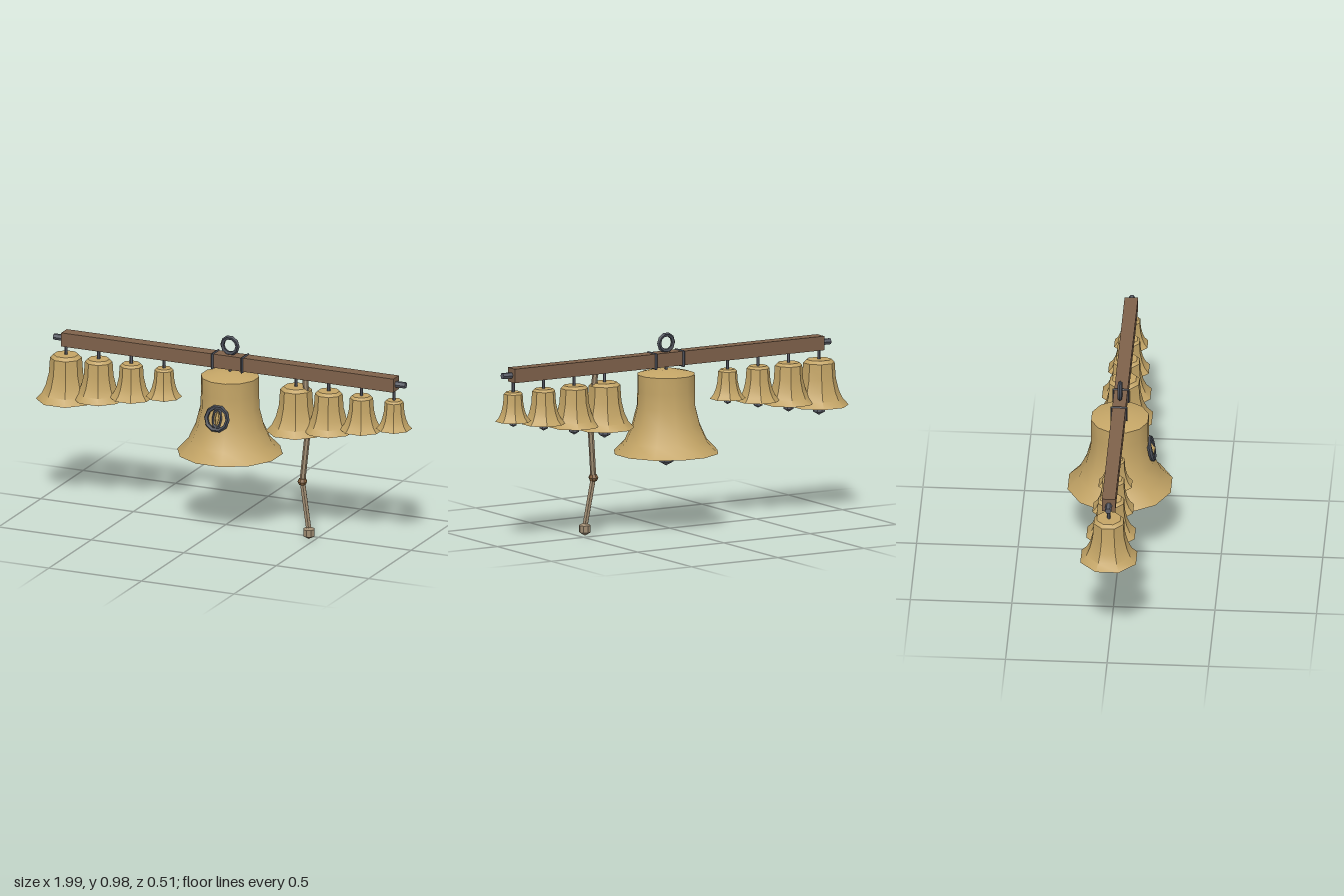
import * as THREE from 'three';
import { toCreasedNormals } from 'three/addons/utils/BufferGeometryUtils.js';

const mat = (name, color, extra = {}) => {
  const m = new THREE.MeshStandardMaterial({ color, ...extra });
  m.name = name;
  return m;
};

export function createModel() {
  const brass = mat('brass', 0xc4a566, { side: THREE.DoubleSide });
  const wood = mat('wood', 0x7e614a);
  const iron = mat('iron', 0x5c5f69);
  const darkIron = mat('darkIron', 0x474b55);
  const rope = mat('rope', 0x9f8c72);
  const leather = mat('leather', 0x86633f);

  const model = new THREE.Group();
  model.name = 'bellChime';
  const body = new THREE.Group();
  body.name = 'body';
  body.position.x = 0.022;
  model.add(body);

  const add = (parent, name, geometry, material, x = 0, y = 0, z = 0) => {
    const mesh = new THREE.Mesh(toCreasedNormals(geometry, 0.6), material);
    mesh.name = name;
    mesh.position.set(x, y, z);
    parent.add(mesh);
    return mesh;
  };

  // Straight cylinder between two points
  const rod = (parent, name, a, b, r, sides, material) => {
    const d = b.clone().sub(a);
    const mesh = add(parent, name, new THREE.CylinderGeometry(r, r, d.length(), sides), material);
    mesh.position.copy(a).add(b).multiplyScalar(0.5);
    mesh.quaternion.setFromUnitVectors(new THREE.Vector3(0, 1, 0), d.normalize());
    return mesh;
  };
  const V = (x, y, z = 0) => new THREE.Vector3(x, y, z);

  // Bell with flat sides facing the axes; profile is [radius, height] as fractions
  const bell = (name, x, top, height, radius, sides, profile, knob, knobY) => {
    const g = new THREE.Group();
    g.name = name;
    g.position.x = x;
    body.add(g);
    const k = radius / Math.cos(Math.PI / sides);
    const pts = profile.map(([r, t]) => new THREE.Vector2(r * k, top - t * height));
    add(g, 'bellShell', new THREE.LatheGeometry(pts, sides, Math.PI / sides), brass);
    rod(g, 'clapperRod', V(0, knobY), V(0, top - 0.02), knob * 0.2, 6, iron);
    add(g, 'clapperKnob', new THREE.SphereGeometry(knob, 8, 3), iron, 0, knobY, 0);
    rod(g, 'hanger', V(0, top - 0.004), V(0, 0.82), 0.008, 6, iron);
  };

  // Crossbeam, end pins and square straps
  add(body, 'beam', new THREE.BoxGeometry(1.794, 0.07, 0.066), wood, 0, 0.847, 0);
  for (const s of [-1, 1]) {
    rod(body, 'endPin', V(s * 0.88, 0.847), V(s * 0.95, 0.847), 0.016, 6, iron);
    const strap = new THREE.TorusGeometry(0.052, 0.007, 4, 4);
    strap.rotateZ(Math.PI / 4).rotateY(Math.PI / 2);
    add(body, 'strap', strap, darkIron, s * 0.08, 0.845, 0);
  }

  // Hanging ring
  add(body, 'hangingRing', new THREE.TorusGeometry(0.041, 0.011, 5, 10), darkIron, 0, 0.927, 0);

  // Large centre bell
  const bigProfile = [[1, 1], [0.79, 0.86], [0.65, 0.665], [0.56, 0.44], [0.55, 0.25],
    [0.55, 0.055], [0.48, 0.04], [0.19, 0], [0, 0]];
  bell('centreBell', 0, 0.795, 0.413, 0.254, 12, bigProfile, 0.044, 0.359);

  // Small bells, largest to smallest from left of each side to the right
  const smallProfile = [[1, 1], [0.8, 0.86], [0.67, 0.68], [0.57, 0.42],
    [0.53, 0.07], [0.42, 0], [0, 0]];
  const sizes = [[0.23, 0.137], [0.204, 0.119], [0.175, 0.1], [0.147, 0.082]];
  for (const start of [-0.886, 0.357]) {
    sizes.forEach(([h, r], i) => {
      bell('smallBell', start + i * 0.1765, 0.764, h, r, 8, smallProfile, r * 0.25, 0.764 - h - r * 0.1);
    });
  }

  // Eye-shaped emblem on the front of the centre bell
  const emblem = new THREE.Group();
  emblem.name = 'emblem';
  emblem.position.set(0, 0.594, 0.155);
  emblem.rotation.x = -0.22;
  body.add(emblem);
  add(emblem, 'emblemRing', new THREE.TorusGeometry(0.058, 0.011, 5, 10), darkIron);
  add(emblem, 'emblemLens', new THREE.TorusGeometry(0.03, 0.007, 4, 8), darkIron).scale.set(0.75, 1.6, 1);
  add(emblem, 'emblemPupil', new THREE.OctahedronGeometry(1), brass).scale.set(0.011, 0.045, 0.02);

  // Pull rope with a collar and an end knob
  const path = [V(0.408, 0.82, 0.003), V(0.428, 0.55, 0.016), V(0.404, 0.287, 0.028), V(0.445, 0.045, 0.041)];
  for (let i = 0; i < 3; i++) rod(body, 'pullRope', path[i], path[i + 1], 0.0145, 6, rope);
  add(body, 'ropeCollar', new THREE.SphereGeometry(0.025, 8, 4), leather, 0.404, 0.287, 0.028).scale.y = 0.85;
  add(body, 'ropeKnob', new THREE.SphereGeometry(0.034, 8, 3), rope, 0.445, 0.034, 0.041);

  return model;
}
